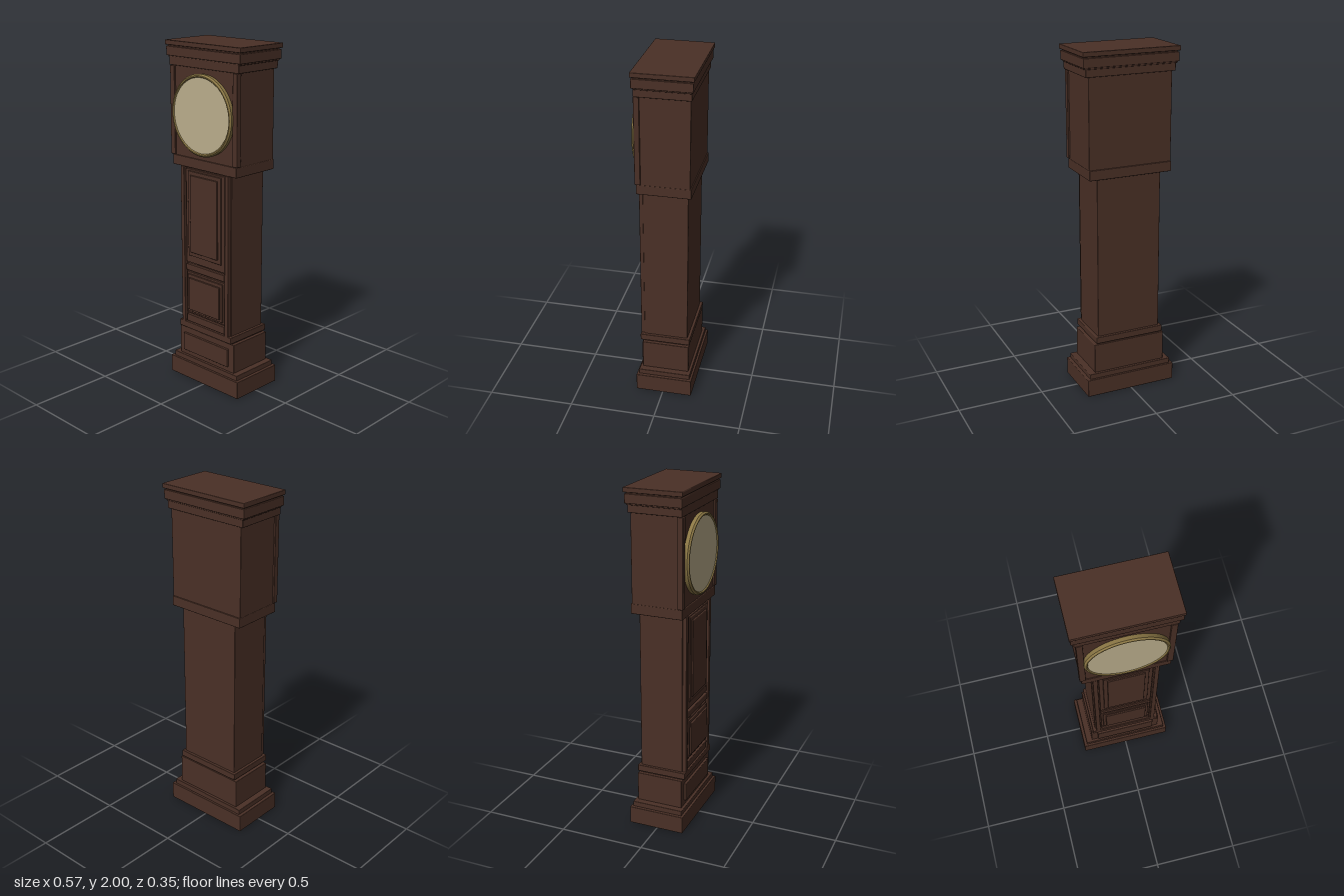
import * as THREE from 'three';
import { RoundedBoxGeometry } from 'three/addons/geometries/RoundedBoxGeometry.js';

export function createModel() {
  const wood = new THREE.MeshStandardMaterial({ color: 0x4a3026 });
  wood.name = 'darkWood';
  const brass = new THREE.MeshStandardMaterial({ color: 0x8a7644 });
  brass.name = 'agedBrass';
  const cream = new THREE.MeshStandardMaterial({ color: 0xbbae8c });
  cream.name = 'creamDial';

  const clock = new THREE.Group();
  clock.name = 'longcaseClock';

  // Softly bevelled wooden block given by its limits
  function block(name, x0, x1, y0, y1, z0, z1, bevel = 0.004) {
    const w = x1 - x0, h = y1 - y0, d = z1 - z0;
    const r = Math.min(bevel, w / 3, h / 3, d / 3);
    const mesh = new THREE.Mesh(new RoundedBoxGeometry(w, h, d, 2, r), wood);
    mesh.position.set((x0 + x1) / 2, (y0 + y1) / 2, (z0 + z1) / 2);
    mesh.name = name;
    clock.add(mesh);
  }
  const centred = (name, half, y0, y1, z0, z1, bevel) =>
    block(name, -half, half, y0, y1, z0, z1, bevel);
  function pair(name, xIn, xOut, y0, y1, z0, z1) {
    block(name + 'Left', xIn, xOut, y0, y1, z0, z1);
    block(name + 'Right', -xOut, -xIn, y0, y1, z0, z1);
  }

  // Stacked carcass: name, half width, bottom, top, back, front
  [
    ['plinth', 0.275, 0, 0.105, -0.172, 0.16],
    ['plinthStep', 0.257, 0.103, 0.135, -0.16, 0.147],
    ['base', 0.22, 0.133, 0.31, -0.145, 0.132],
    ['baseNeck', 0.2, 0.305, 0.32, -0.135, 0.125],
    ['trunkFootMoulding', 0.209, 0.317, 0.356, -0.148, 0.147],
    ['trunk', 0.193, 0.35, 1.31, -0.132, 0.125],
    ['hoodMoulding', 0.248, 1.3, 1.358, -0.158, 0.147],
    ['hood', 0.247, 1.354, 1.87, -0.152, 0.142],
    ['corniceLower', 0.265, 1.863, 1.912, -0.16, 0.15],
    ['corniceMiddle', 0.281, 1.914, 1.966, -0.17, 0.157],
    ['corniceNeck', 0.273, 1.905, 1.98, -0.163, 0.149],
    ['corniceTop', 0.286, 1.973, 2, -0.176, 0.161],
  ].forEach((part) => centred(...part));

  // Raised panel on the base
  centred('basePanel', 0.18, 0.165, 0.275, 0.12, 0.146);

  // Uprights on the corners of hood and trunk
  pair('hoodPilaster', 0.222, 0.257, 1.36, 1.862, 0.12, 0.152);
  pair('trunkColumn', 0.16, 0.187, 0.345, 1.3, 0.11, 0.147);

  // Trunk door, lower panel and rails
  centred('doorFrame', 0.153, 0.73, 1.29, 0.11, 0.138);
  centred('doorMoulding', 0.13, 0.775, 1.28, 0.12, 0.146);
  centred('doorPanel', 0.107, 0.8, 1.258, 0.12, 0.154);
  centred('middleRail', 0.153, 0.68, 0.72, 0.11, 0.142);
  centred('lowerFrame', 0.153, 0.415, 0.672, 0.11, 0.138);
  centred('lowerPanelMoulding', 0.14, 0.428, 0.66, 0.12, 0.146);
  centred('lowerPanel', 0.123, 0.443, 0.64, 0.12, 0.155);
  centred('bottomRail', 0.153, 0.36, 0.405, 0.11, 0.142);

  // Clock face: bevelled brass ring around a plain dial
  const face = new THREE.Group();
  face.name = 'clockFace';
  face.position.set(0, 1.61, 0);
  const profile = [
    [0.208, 0.14], [0.226, 0.14], [0.228, 0.164], [0.22, 0.173],
    [0.214, 0.173], [0.208, 0.166], [0.208, 0.14],
  ].map(([r, z]) => new THREE.Vector2(r, z));
  // Separate bands keep the ring's edges crisp
  for (let i = 0; i < profile.length - 1; i++) {
    const band = new THREE.LatheGeometry([profile[i], profile[i + 1]], 64);
    band.rotateX(Math.PI / 2);
    const ring = new THREE.Mesh(band, brass);
    ring.name = 'bezelBand' + (i + 1);
    face.add(ring);
  }
  const dial = new THREE.Mesh(new THREE.CircleGeometry(0.211, 64), cream);
  dial.name = 'dial';
  dial.position.z = 0.167;
  face.add(dial);
  clock.add(face);

  return clock;
}
